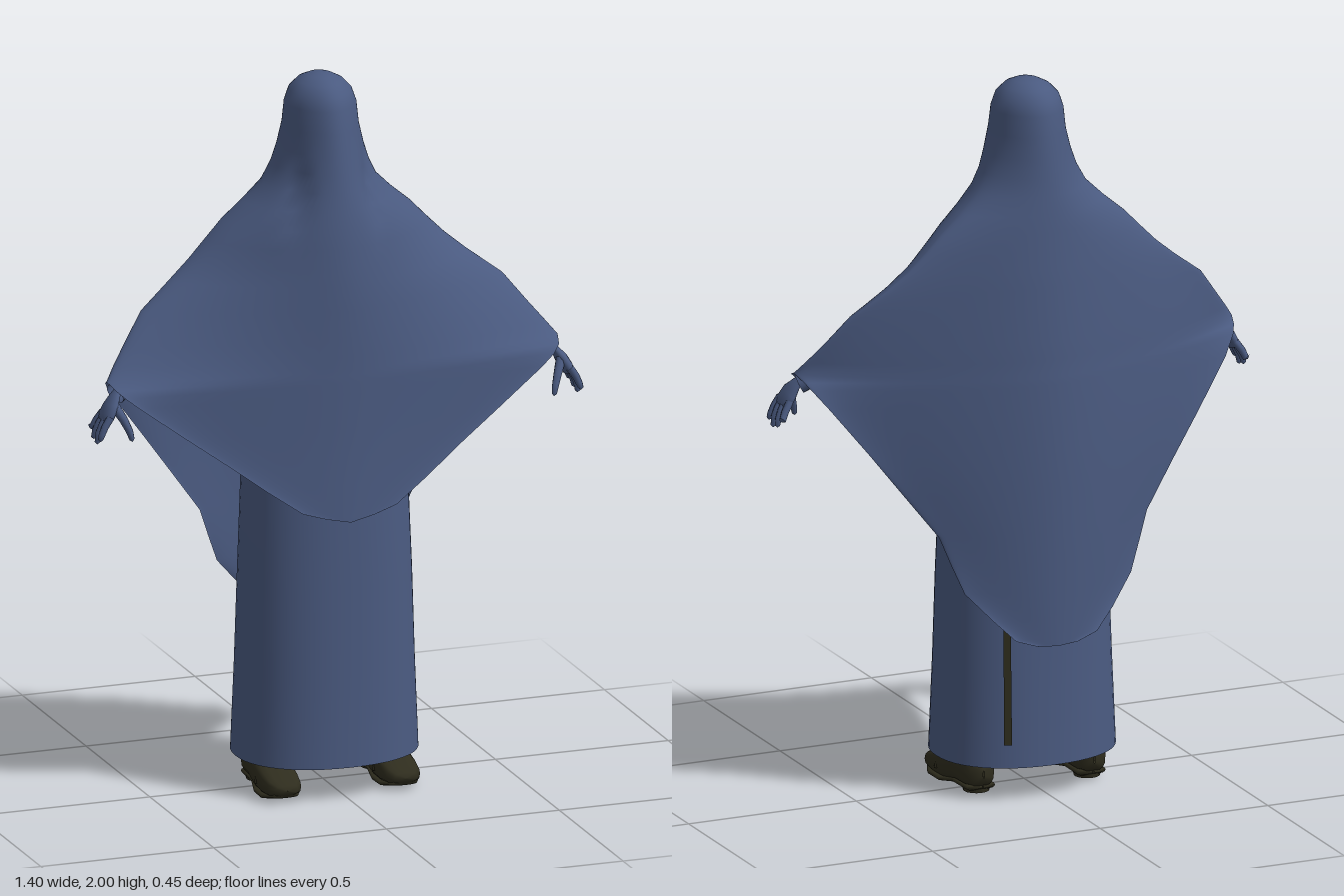
import * as THREE from 'three';
import { mergeGeometries, mergeVertices } from 'three/addons/utils/BufferGeometryUtils.js';

const cloth = new THREE.MeshStandardMaterial({ color: 0x4a5a80, side: THREE.DoubleSide });
cloth.name = 'blueCloth';
const leather = new THREE.MeshStandardMaterial({ color: 0x2f2d1e, side: THREE.DoubleSide });
leather.name = 'darkLeather';

// Skin a list of point rows; each row runs counter-clockwise seen from the first row
function loft(rows) {
  const n = rows[0].length, index = [];
  for (let i = 0; i < rows.length - 1; i++) {
    for (let j = 0; j < n - 1; j++) {
      const a = i * n + j, c = a + n;
      index.push(a, c, a + 1, a + 1, c, c + 1);
    }
  }
  const g = new THREE.BufferGeometry();
  g.setAttribute('position', new THREE.Float32BufferAttribute(rows.flat(2), 3));
  g.setIndex(index);
  return g;
}

function smooth(...geometries) {
  const g = mergeVertices(mergeGeometries(geometries), 1e-4);
  g.computeVertexNormals();
  return g;
}

function mesh(name, geometry, material) {
  const m = new THREE.Mesh(geometry, material);
  m.name = name;
  return m;
}

const pow = (v, e) => Math.sign(v) * Math.abs(v) ** e;
const ring = (n, f) => Array.from({ length: n + 1 }, (_, j) => f(((j % n) / n) * Math.PI * 2));

// Round tube through [x, y, z, radius] points
function tube(points, sides = 10, flat = 1) {
  const p = points.map(q => new THREE.Vector3(q[0], q[1], q[2]));
  const rows = points.map((q, i) => {
    const d = p[Math.min(i + 1, p.length - 1)].clone().sub(p[Math.max(i - 1, 0)]).normalize();
    const u = new THREE.Vector3(0, 0, 1).addScaledVector(d, -d.z).normalize();
    const v = u.clone().cross(d);
    return ring(sides, t => p[i].clone().addScaledVector(u, Math.cos(t) * q[3])
      .addScaledVector(v, Math.sin(t) * q[3] * flat).toArray());
  });
  return smooth(loft(rows));
}

// Cape, closed part: height, half width, side z, front z, back z
const capeTop = [
  [2.0, 0, -0.02, -0.02, -0.02], [1.995, 0.035, -0.02, 0.02, -0.06], [1.98, 0.063, -0.02, 0.055, -0.095],
  [1.955, 0.086, -0.02, 0.085, -0.122], [1.92, 0.098, -0.02, 0.1, -0.134], [1.86, 0.104, -0.02, 0.113, -0.142],
  [1.8, 0.119, -0.022, 0.125, -0.15], [1.75, 0.136, -0.028, 0.135, -0.155], [1.7, 0.162, -0.038, 0.145, -0.162],
  [1.65, 0.213, -0.05, 0.156, -0.169], [1.6, 0.272, -0.056, 0.166, -0.175], [1.55, 0.32, -0.055, 0.174, -0.18],
  [1.5, 0.37, -0.05, 0.18, -0.186], [1.45, 0.43, -0.038, 0.186, -0.191], [1.38, 0.523, -0.01, 0.191, -0.197],
  [1.3, 0.585, 0.025, 0.194, -0.204], [1.25, 0.625, 0.052, 0.196, -0.207], [1.215, 0.652, 0.075, 0.197, -0.209],
];
// Open hems below the wrists: height, half width, edge z, middle z
const frontHem = [
  [1.2, 0.64, 0.12, 0.198], [1.18, 0.618, 0.14, 0.199], [1.15, 0.58, 0.15, 0.2], [1.05, 0.445, 0.167, 0.204],
  [0.97, 0.335, 0.181, 0.208], [0.89, 0.228, 0.199, 0.214], [0.825, 0.135, 0.214, 0.219], [0.805, 0.07, 0.219, 0.221],
  [0.79, 0, 0.222, 0.222],
];
const backHem = [
  [1.2, 0.642, 0.035, -0.211], [1.18, 0.628, 0.008, -0.212], [1.13, 0.59, -0.025, -0.215], [1.0, 0.49, -0.065, -0.221],
  [0.88, 0.4, -0.093, -0.223], [0.76, 0.31, -0.125, -0.224], [0.68, 0.28, -0.14, -0.224], [0.6, 0.248, -0.157, -0.224],
  [0.52, 0.175, -0.195, -0.224], [0.465, 0.12, -0.215, -0.224], [0.445, 0.06, -0.222, -0.224], [0.44, 0, -0.224, -0.224],
];

// Each row slopes back from the middle, then rounds over the arm at its edge
function sheet(table, dir) {
  const cols = 48, bend = dir > 0 ? 0.08 : 0.15;
  return loft(table.map(([y, w, edge, mid]) => {
    const slope = dir > 0 ? THREE.MathUtils.mapLinear(THREE.MathUtils.clamp(y, 1.2, 1.5), 1.2, 1.5, 0.12, 0.42) : 0.41;
    const power = 2 + (dir > 0 ? 1.5 : 2.5) * THREE.MathUtils.smoothstep(w, 0.12, 0.4);
    return Array.from({ length: cols + 1 }, (_, j) => {
      const u = Math.sin((j / cols - 0.5) * Math.PI), x = w * u;
      const flat = mid - dir * slope * (Math.hypot(x, bend) - bend);
      const round = Math.sqrt(Math.max(0, 1 - Math.abs(u) ** power));
      let z = edge + (flat - edge) * round;
      // soft folds beside the neck
      if (dir > 0) z -= 0.03 * round * Math.exp(-(((Math.abs(x) - 0.105) / 0.02) ** 2) - ((y - 1.7) / 0.08) ** 2);
      return [x * dir, y, z];
    });
  }));
}

// Robe: height, half width, front z, back z
const robeRows = [
  [1.5, 0.12, 0.09, -0.1], [1.35, 0.18, 0.13, -0.13], [1.1, 0.205, 0.165, -0.15], [0.9, 0.23, 0.18, -0.158],
  [0.6, 0.241, 0.196, -0.168], [0.35, 0.248, 0.208, -0.182], [0.095, 0.257, 0.225, -0.2],
];
function robePoint([y, w, f, b], t) {
  const mid = (f + b) / 2, half = (f - b) / 2;
  return [w * pow(Math.sin(t), 0.9), y, mid + half * pow(Math.cos(t), 0.9)];
}

// Shoe shell from toe to heel: z, bottom, top, half width, centre x
function shoeShell(rows) {
  return smooth(loft(rows.map(([z, lo, hi, w, cx]) => ring(16, t => [
    cx + w * pow(Math.cos(t), 0.65), (lo + hi) / 2 + ((hi - lo) / 2) * pow(Math.sin(t), 0.65), z,
  ]))));
}

function buildShoe() {
  const g = new THREE.Group();
  g.name = 'shoe';
  g.add(mesh('shoeUpper', shoeShell([
    [0.19, 0.035, 0.036, 0.002, 0.172], [0.186, 0.022, 0.05, 0.032, 0.172], [0.165, 0.014, 0.062, 0.049, 0.172],
    [0.12, 0.008, 0.077, 0.055, 0.171], [0.06, 0.008, 0.098, 0.055, 0.17], [0.0, 0.02, 0.118, 0.052, 0.168],
    [-0.06, 0.02, 0.118, 0.048, 0.167], [-0.09, 0.025, 0.105, 0.036, 0.166], [-0.1, 0.05, 0.07, 0.002, 0.165],
  ]), leather));
  g.add(mesh('shoeSole', shoeShell([
    [0.186, 0.024, 0.026, 0.002, 0.172], [0.18, 0.014, 0.028, 0.036, 0.172], [0.13, 0.002, 0.02, 0.057, 0.172],
    [0.07, 0.0, 0.018, 0.055, 0.17], [0.01, 0.012, 0.03, 0.044, 0.167], [-0.08, 0.012, 0.03, 0.042, 0.165],
    [-0.094, 0.02, 0.026, 0.002, 0.165],
  ]), leather));
  const heel = mesh('shoeHeel', new THREE.CylinderGeometry(0.04, 0.036, 0.02, 16), leather);
  heel.position.set(0.165, 0.014, -0.05);
  g.add(heel);
  // strap over the instep
  const strap = mesh('shoeStrap', new THREE.TorusGeometry(0.052, 0.007, 8, 20, Math.PI), leather);
  strap.position.set(0.17, 0.035, 0.085);
  g.add(strap);
  return g;
}

function buildArm() {
  const g = new THREE.Group();
  g.name = 'arm';
  g.add(mesh('sleeve', tube([[0.2, 1.42, -0.01, 0.055], [0.42, 1.3, 0.015, 0.042], [0.57, 1.215, 0.06, 0.026],
    [0.632, 1.183, 0.085, 0.03]], 16), cloth));
  g.add(mesh('palm', tube([[0.615, 1.198, 0.08, 0.018], [0.636, 1.18, 0.092, 0.024], [0.652, 1.155, 0.102, 0.037],
    [0.664, 1.132, 0.107, 0.039], [0.671, 1.118, 0.108, 0.031], [0.673, 1.114, 0.108, 0.001]], 14, 0.45), cloth));
  // four fingers
  [[0.076, 0.06, 1.085], [0.097, 0.088, 1.063], [0.118, 0.116, 1.056], [0.138, 0.142, 1.07]].forEach(([z0, z1, tip]) => {
    const at = k => z0 + (z1 - z0) * k;
    g.add(mesh('finger', tube([[0.664, 1.135, z0, 0.011], [0.681, 1.11, at(0.45), 0.0105], [0.691, 1.088, at(0.8), 0.0095],
      [0.695, tip + 0.006, z1, 0.0075], [0.695, tip, z1, 0.0005]], 8), cloth));
  });
  g.add(mesh('thumb', tube([[0.645, 1.158, 0.12, 0.014], [0.628, 1.125, 0.143, 0.012], [0.616, 1.095, 0.157, 0.01],
    [0.611, 1.074, 0.161, 0.0075], [0.61, 1.067, 0.162, 0.0005]], 8), cloth));
  return g;
}

export function createModel() {
  const model = new THREE.Group();
  model.name = 'cloakedFigure';

  const front = [...capeTop.map(r => r.slice(0, 4)), ...frontHem];
  const back = [...capeTop.map(r => [r[0], r[1], r[2], r[4]]), ...backHem];
  model.add(mesh('cape', smooth(sheet(front, 1), sheet(back, -1)), cloth));
  model.add(mesh('robe', smooth(loft(robeRows.map(r => ring(48, t => robePoint(r, t))))), cloth));

  // narrow dark slit at the back left of the robe
  const slit = [[0.55, 0.243, 0.198, -0.171], [0.35, 0.248, 0.208, -0.182], [0.16, 0.255, 0.221, -0.195]].map(r =>
    [Math.PI - 0.53, Math.PI - 0.44].map(t => robePoint(r, t)).map(([x, y, z]) => [x, y, z - 0.005]));
  model.add(mesh('robeSlit', smooth(loft(slit)), leather));

  for (const side of [1, -1]) {
    const half = new THREE.Group();
    half.name = side > 0 ? 'leftLimbs' : 'rightLimbs';
    half.add(buildArm(), buildShoe());
    half.scale.x = side;
    model.add(half);
  }
  return model;
}
